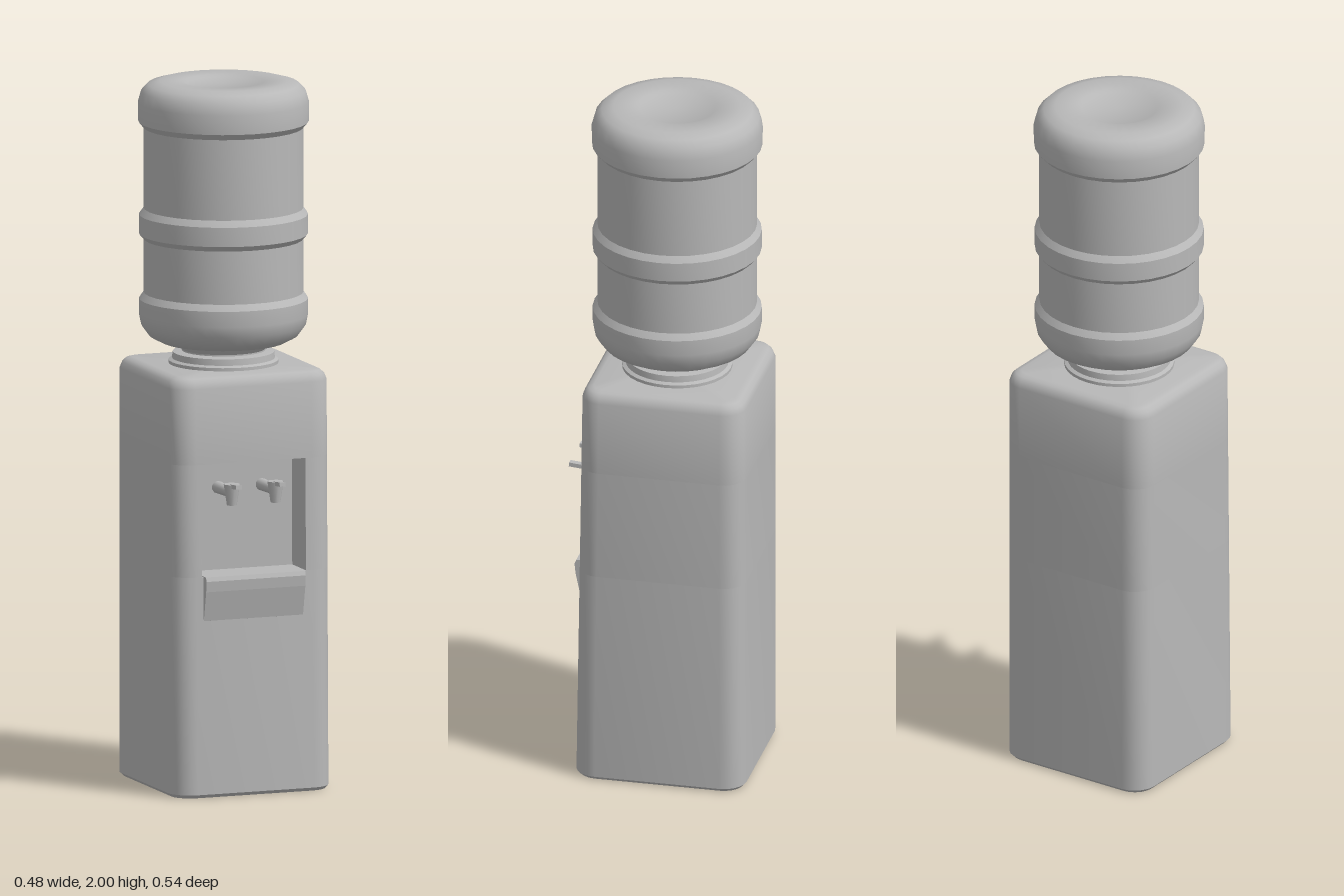
import * as THREE from 'three';
import { toCreasedNormals } from 'three/addons/utils/BufferGeometryUtils.js';

const grey = new THREE.MeshStandardMaterial({ color: 0xb8b8b8 });
grey.name = 'grey plastic';

const FRONT = 0.22, BACK = -0.27, HALF = 0.24, RADIUS = 0.065, STEPS = 5;

function part(name, geometry, parent) {
  const mesh = new THREE.Mesh(geometry, grey);
  mesh.name = name;
  parent.add(mesh);
  return mesh;
}

// Rounded rectangle of the cabinet in x and z, starting at the front left corner
function outline(inset) {
  const r = RADIUS - inset, points = [];
  const centres = [[1, 1], [-1, 1], [-1, -1], [1, -1]];
  centres.forEach(([sx, sz], c) => {
    const cx = sx * (HALF - RADIUS);
    const cz = sz > 0 ? FRONT - RADIUS : BACK + RADIUS;
    for (let i = 0; i <= STEPS; i++) {
      const a = (c + i / STEPS) * Math.PI / 2;
      points.push(new THREE.Vector2(cx + r * Math.cos(a), cz + r * Math.sin(a)));
    }
  });
  return points;
}

// The cabinet front leans back a little towards the top
function lean(geometry) {
  const p = geometry.attributes.position;
  for (let i = 0; i < p.count; i++) {
    const z = p.getZ(i);
    if (z > 0) p.setZ(i, z * (1 - 0.07 * p.getY(i)));
  }
  return toCreasedNormals(geometry, 0.6);
}

// Closed block through outlines at levels of [height, inset]
function block(levels) {
  const pos = [], index = [], n = outline(0).length;
  for (const [y, inset] of levels) for (const q of outline(inset)) pos.push(q.x, y, q.y);
  const last = (levels.length - 1) * n, low = levels.length * n, high = low + 1;
  pos.push(0, levels[0][0], 0, 0, levels[levels.length - 1][0], 0);
  for (let i = 0; i < n; i++) {
    const j = (i + 1) % n;
    for (let k = 0; k < last; k += n) index.push(k + i, k + n + i, k + n + j, k + i, k + n + j, k + j);
    index.push(low, i, j, high, last + j, last + i);
  }
  const g = new THREE.BufferGeometry();
  g.setAttribute('position', new THREE.Float32BufferAttribute(pos, 3));
  g.setIndex(index);
  return lean(g);
}

function lathe(points, segments = 32) {
  const g = new THREE.LatheGeometry(points.map(([r, y]) => new THREE.Vector2(r, y)), segments);
  return toCreasedNormals(g, 0.55);
}

function makeCabinet() {
  const cabinet = new THREE.Group();
  cabinet.name = 'cabinet';
  part('lowerCabinet', block([[0, 0.01], [0.01, 0], [0.63, 0]]), cabinet);
  part('upperCabinet', block([[0.95, 0], [1.165, 0], [1.182, 0.007], [1.192, 0.018], [1.196, 0.034]]), cabinet);

  // Middle section with the dispensing recess cut from the front
  const points = outline(0);
  const notch = [[0.155, FRONT], [0.155, 0.11], [-0.16, 0.11], [-0.16, FRONT]];
  points.splice(STEPS + 1, 0, ...notch.map(([x, z]) => new THREE.Vector2(x, z)));
  const middle = new THREE.ExtrudeGeometry(new THREE.Shape(points), { depth: 0.32, bevelEnabled: false });
  middle.rotateX(Math.PI / 2).translate(0, 0.95, 0);
  part('recessSurround', lean(middle), cabinet);

  // Shelf lip, tapering down into the front panel
  const lip = new THREE.Shape([[-0.19, 0.5], [-0.19, 0.632], [-0.229, 0.632], [-0.234, 0.62], [-0.231, 0.59], [-0.213, 0.505]]
    .map(([z, y]) => new THREE.Vector2(z, y)));
  const lipGeometry = new THREE.ExtrudeGeometry(lip, { depth: 0.3, bevelEnabled: false });
  lipGeometry.rotateY(Math.PI / 2).translate(-0.155, 0, 0);
  part('shelfLip', lipGeometry, cabinet);
  return cabinet;
}

function makeTap(x) {
  const tap = new THREE.Group();
  tap.name = 'tap';
  tap.position.set(x, 0.865, 0);
  const stem = part('tapStem', new THREE.CylinderGeometry(0.014, 0.018, 0.11, 10), tap);
  stem.rotation.x = Math.PI / 2;
  stem.position.z = 0.16;
  const spout = part('tapSpout', new THREE.CylinderGeometry(0.023, 0.014, 0.06, 10), tap);
  spout.position.set(0, -0.004, 0.212);
  const lever = part('tapLever', new THREE.BoxGeometry(0.018, 0.012, 0.065), tap);
  lever.position.set(0, 0.022, 0.235);
  lever.rotation.x = -0.1;
  return tap;
}

function makeBottle() {
  const bottle = new THREE.Group();
  bottle.name = 'bottle';
  bottle.position.z = -0.029;
  // Collar seated on the cabinet
  part('collar', lathe([[0, 1.18], [0.155, 1.18], [0.155, 1.205], [0.145, 1.21], [0.143, 1.228], [0.12, 1.232], [0, 1.232]]), bottle);
  // Upside-down bottle with three raised bands and a dished base on top
  part('bottleShell', lathe([
    [0, 1.22], [0.118, 1.22], [0.118, 1.236], [0.13, 1.25], [0.175, 1.257], [0.21, 1.275], [0.232, 1.305],
    [0.238, 1.335], [0.238, 1.38], [0.225, 1.398],
    [0.225, 1.55], [0.238, 1.565], [0.238, 1.62], [0.225, 1.638],
    [0.225, 1.868], [0.24, 1.885], [0.241, 1.94], [0.232, 1.972], [0.213, 1.991], [0.18, 2],
    [0.115, 1.998], [0.105, 1.992], [0, 1.992],
  ]), bottle);
  return bottle;
}

export function createModel() {
  const model = new THREE.Group();
  model.name = 'waterCooler';
  model.add(makeCabinet(), makeBottle());
  for (const x of [-0.07, 0.062]) model.add(makeTap(x));
  return model;
}
